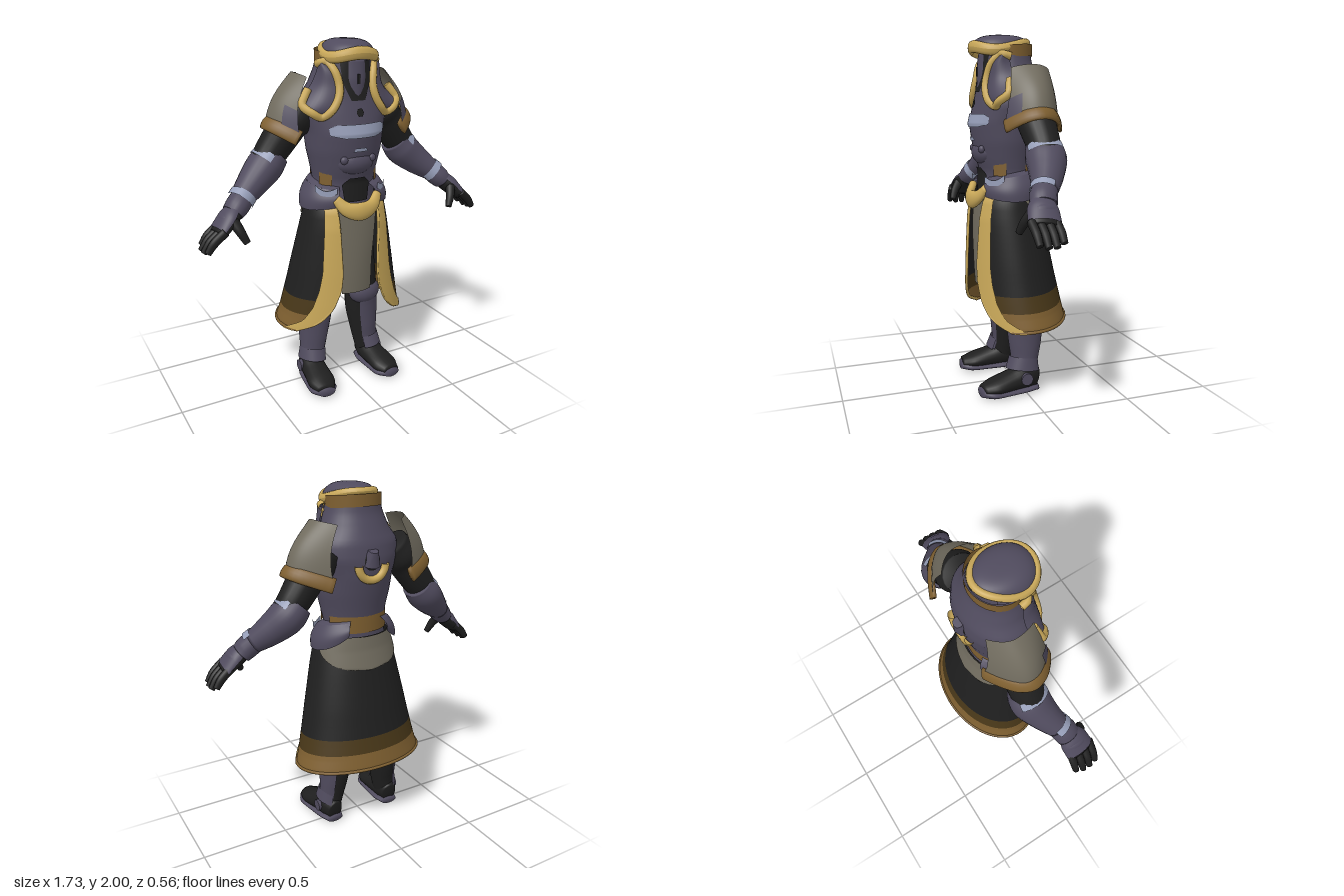
import * as THREE from 'three';

const mat = (name, color) => {
  const m = new THREE.MeshStandardMaterial({ color, side: THREE.DoubleSide });
  m.name = name;
  return m;
};
const V = (x, y, z) => new THREE.Vector3(x, y, z);
const lerp = THREE.MathUtils.lerp;

// Look up a row [key, ...values] by its descending key, interpolating linearly
function look(rows, key) {
  let i = 0;
  while (i < rows.length - 2 && rows[i + 1][0] > key) i++;
  const a = rows[i], b = rows[i + 1];
  const t = THREE.MathUtils.clamp((a[0] - key) / (a[0] - b[0]), 0, 1);
  return a.map((v, k) => lerp(v, b[k], t));
}

// Surface from a rule f(u, v) -> Vector3
function grid(f, nu, nv, closed = false) {
  const pos = [], idx = [], w = closed ? nu : nu + 1;
  for (let j = 0; j <= nv; j++) for (let i = 0; i < w; i++) pos.push(...f(i / nu, j / nv).toArray());
  for (let j = 0; j < nv; j++) for (let i = 0; i < nu; i++) {
    const a = j * w + i, b = j * w + (i + 1) % w;
    idx.push(a, b, a + w, b, b + w, a + w);
  }
  const g = new THREE.BufferGeometry();
  g.setAttribute('position', new THREE.Float32BufferAttribute(pos, 3));
  g.setIndex(idx);
  g.computeVertexNormals();
  return g;
}

// Closed limb through stations [x, y, z, ra, rb]; optional arc [from, to] makes a shell
function limb(st, { ref = V(0, 0, 1), arc = null, grow = 0, n = 20 } = {}) {
  const path = new THREE.CatmullRomCurve3(st.map(p => V(p[0], p[1], p[2])));
  const radii = new THREE.CatmullRomCurve3(st.map(p => V(p[3], p[4], 0)));
  return grid((u, v) => {
    const e = arc ? v : THREE.MathUtils.clamp(v * 1.1 - 0.05, 0, 1);
    const t = path.getTangent(e), c = path.getPoint(e), r = radii.getPoint(e);
    const s = V().crossVectors(t, ref).normalize(), q = V().crossVectors(s, t);
    const k = !arc && (v === 0 || v === 1) ? 0 : 1;
    const a = arc ? lerp(arc[0], arc[1], u) : u * Math.PI * 2;
    return c.addScaledVector(s, k * (r.x + grow) * Math.cos(a)).addScaledVector(q, k * (r.y + grow) * Math.sin(a));
  }, n, 24, !arc);
}

// Point on an ellipse whose front and back depths differ; a = 0 faces front
const oval = (a, y, rx, zf, zb, off = 0) =>
  V((rx + off) * Math.sin(a), y, (zf + zb) / 2 + ((zf - zb) / 2 + off) * Math.cos(a));

function mirrored(geo) {
  const g = geo.clone().scale(-1, 1, 1), a = g.index.array;
  for (let i = 0; i < a.length; i += 3) [a[i], a[i + 1]] = [a[i + 1], a[i]];
  return g;
}

export function createModel() {
  const model = new THREE.Group();
  model.name = 'armouredFigure';
  const plum = mat('plumArmour', 0x504b5e), black = mat('blackCloth', 0x1f1f1f), gold = mat('gold', 0xc9a859),
    brown = mat('bronze', 0x7e5f30), dark = mat('darkBronze', 0x483718), taupe = mat('taupe', 0x716c5f),
    steel = mat('paleSteel', 0x969eb8);
  const add = (name, geo, m) => {
    const mesh = new THREE.Mesh(geo, m);
    mesh.name = name;
    model.add(mesh);
  };
  const pair = (name, geo, m) => { add(name + 'Left', geo, m); add(name + 'Right', mirrored(geo), m); };
  const tube = (pts, r) => new THREE.TubeGeometry(new THREE.CatmullRomCurve3(pts), 48, r, 10);
  const ball = (x, y, z, a, b, c) => new THREE.SphereGeometry(1, 20, 14).scale(a, b, c).translate(x, y, z);

  // Torso: y, half width, front z, back z
  const body = [[1.93, .145, .185, -.09], [1.85, .165, .19, -.1], [1.77, .195, .195, -.13], [1.7, .245, .205, -.155],
    [1.62, .255, .225, -.165], [1.52, .225, .25, -.16], [1.42, .215, .235, -.14], [1.33, .195, .215, -.12],
    [1.25, .18, .19, -.105], [1.12, .19, .19, -.11]];
  add('torso', grid((u, v) => {
    const [y, rx, zf, zb] = look(body, lerp(1.93, 1.12, v));
    return oval(u * Math.PI * 2, y, rx, zf, zb);
  }, 40, 36, true), plum);
  const frontZ = (x, y) => {
    const [, rx, zf, zb] = look(body, y);
    return (zf + zb) / 2 + (zf - zb) / 2 * Math.sqrt(Math.max(0, 1 - (x / rx) ** 2));
  };
  // Thin plate lying on the chest: rows of y, left x, right x
  const plate = (rows, off) => grid((u, v) => {
    const [y, x0, x1] = look(rows, lerp(rows[0][0], rows[rows.length - 1][0], v));
    const x = lerp(x0, x1, u);
    return V(x, y, frontZ(x, y) + off);
  }, 14, 14);
  add('cowlShadow', plate([[1.89, -.09, .09], [1.78, -.08, .08], [1.69, -.04, .04]], .005), black);
  add('chestBar', plate([[1.572, -.13, .13], [1.555, -.165, .165], [1.515, -.16, .16], [1.5, -.09, .09]], .008), steel);
  add('chestStud', plate([[1.65, -.012, .012], [1.63, -.022, .022], [1.61, -.012, .012]], .007), black);
  add('abdomenEdge', plate([[1.445, -.03, .03], [1.425, -.045, .045]], .007), steel);
  add('abdomenPlate', ball(0, 1.36, .165, .12, .075, .074), plum);
  pair('abdomenStud', ball(.085, 1.38, .212, .022, .022, .018), plum);
  add('bellyCloth', plate([[1.275, -.045, .045], [1.24, -.085, .085], [1.14, -.07, .07]], .012), black);

  // Head: mask, cap and the rims around it
  add('mask', limb([[0, 1.89, .14, .078, .058], [0, 1.8, .15, .072, .06], [0, 1.73, .16, .056, .05], [0, 1.67, .175, .03, .034]]), plum);
  add('maskSlit', new THREE.BoxGeometry(.014, .05, .006).translate(0, 1.8, .211), black);
  // Egg-shaped brim line, dipping over the temples and rising to the back
  const rim = a => {
    const f = (1 + Math.cos(a)) / 2;
    return V(.137 * Math.sin(a) * (1 + .14 * Math.cos(a)), 1.964 - .03 * f - .055 * f * Math.sin(a) ** 2, .08 + .155 * Math.cos(a));
  };
  add('cap', grid((u, v) => {
    const p = rim(u * Math.PI * 2), h = v * Math.PI / 2, c = Math.cos(h) ** .65;
    return V(p.x * c, lerp(p.y, 2, Math.sin(h)), lerp(.07, p.z, c));
  }, 36, 12, true), plum);
  add('capRim', grid((u, v) => {
    const a = u * Math.PI * 2, b = v * Math.PI * 2, p = rim(a), f = (1 + Math.cos(a)) / 2, k = .02 * Math.cos(b);
    return V(p.x + k * Math.sin(a), p.y + lerp(.02, .034, f) * Math.sin(b), p.z + k * Math.cos(a));
  }, 40, 12, true), gold);
  add('neckBand', grid((u, v) => {
    const a = lerp(.9, Math.PI * 2 - .9, u);
    return oval(a, lerp(1.94, 1.875, v) - .012 * Math.cos(a), .152, .18, -.097, .005);
  }, 36, 3), brown);

  // Collar: raised flap each side of the face, edged with gold
  const inner = [[.14, 1.885], [.115, 1.84], [.1, 1.77], [.11, 1.71], [.15, 1.645], [.195, 1.612]]
    .map(([x, y]) => V(x, y, frontZ(x, y) + .012));
  const outer = [V(.168, 1.875, .08), V(.18, 1.83, .075), V(.205, 1.775, .07), V(.235, 1.74, .07), V(.265, 1.71, .085), V(.285, 1.675, .12)];
  const [innerCurve, outerCurve] = [inner, outer].map(p => new THREE.CatmullRomCurve3(p));
  pair('collarFlap', grid((u, v) => {
    const bulge = .022 * Math.sin(Math.PI * u);
    return innerCurve.getPoint(v).lerp(outerCurve.getPoint(v), u).add(V(bulge, 0, bulge));
  }, 10, 20), plum);
  pair('collarTrim', tube([V(.168, 1.875, .07), V(.16, 1.885, .11), ...inner, V(.245, 1.635, .165), V(.285, 1.675, .125), V(.262, 1.72, .11), V(.24, 1.75, .1)], .022), gold);

  // Back boss with its half ring
  add('backBoss', new THREE.CylinderGeometry(.03, .055, .08, 8).rotateX(-.35).translate(0, 1.63, -.155), plum);
  add('backSocket', ball(0, 1.61, -.15, .055, .06, .022), black);
  add('backRing', new THREE.TorusGeometry(.082, .023, 10, 24, Math.PI).rotateZ(Math.PI).translate(0, 1.59, -.158), gold);

  // Pauldrons: curved plates, wrapping further round the back than the front
  const shell = (u, v) => {
    const k = u * 2 - 1, d = k * k * (.25 + .75 * v), z = (lerp(.095, .15, v) + lerp(-.135, -.178, v)) / 2;
    return V(lerp(.27, .43, v) + .03 * Math.sin(Math.PI * v) - (k < 0 ? .15 : .115) * d - (k < 0 ? .04 * k * k : 0),
      lerp(1.83, 1.58, v) - .07 * d, z + k * lerp(.115, .164, v));
  };
  pair('pauldron', grid(shell, 24, 12), taupe);
  pair('pauldronFrontPlate', grid((u, v) => shell(lerp(.8, 1, u), lerp(.55, 1, v)).add(V(0, .002, .006)), 6, 6), plum);
  const hem = [0, .12, .3, .5, .7, .88, 1].map(u => [...shell(u, 1).toArray(), .016, .042]);
  pair('pauldronTrim', limb(hem, { ref: V(.65, -.76, 0), n: 14 }), brown);

  // Arms
  pair('upperArm', limb([[.21, 1.66, -.01, .1, .105], [.3, 1.555, -.015, .1, .105], [.4, 1.42, -.025, .09, .09], [.46, 1.35, -.02, .075, .08]]), black);
  pair('forearm', limb([[.385, 1.405, -.03, .085, .095], [.44, 1.345, -.025, .098, .108], [.52, 1.275, .005, .085, .09], [.61, 1.205, .05, .062, .066]]), plum);
  pair('elbowEdge', limb([[.4, 1.39, -.03, .092, .101], [.43, 1.357, -.027, .097, .107]], { arc: [1.9, 3.9], grow: .004 }), steel);
  pair('wristEdge', limb([[.592, 1.22, .04, .068, .072], [.622, 1.193, .056, .069, .073]], { arc: [.4, 3.6], grow: .003 }), steel);
  pair('cuff', limb([[.59, 1.22, .04, .06, .064], [.64, 1.175, .07, .062, .07], [.67, 1.145, .08, .055, .068]]), plum);
  pair('palm', limb([[.64, 1.17, .075, .04, .05], [.7, 1.12, .095, .046, .072], [.765, 1.055, .11, .032, .078]]), black);
  pair('handGuard', limb([[.66, 1.16, .08, .046, .06], [.7, 1.12, .095, .052, .08], [.755, 1.067, .107, .042, .084]], { arc: [Math.PI - 1.5, Math.PI + 1.5] }), plum);
  pair('handGuardTop', ball(.712, 1.12, .095, .045, .045, .072), plum);
  for (let i = 0; i < 4; i++) {
    const z = .045 + i * .041, l = [.86, 1, 1, .92][i];
    pair('finger' + (i + 1), limb([[.745, 1.08, z + .005, .025, .022], [.745 + .065 * l, 1.08 - .055 * l, z, .024, .021], [.745 + .105 * l, 1.08 - .11 * l, z - .003, .018, .017]], { n: 10 }), black);
  }
  pair('thumb', limb([[.69, 1.12, .14, .03, .03], [.665, 1.065, .175, .025, .025], [.64, 1.01, .195, .018, .018]], { n: 10 }), black);

  // Waist: belt at the flanks and back, hip guards and the front buckle
  pair('beltFlank', grid((u, v) => oval(lerp(.75, 1.2, u), lerp(1.31, 1.235, v), .186, .195, -.11, .006), 10, 2), brown);
  add('beltBack', grid((u, v) => oval(lerp(1.9, Math.PI * 2 - 1.9, u), lerp(1.295, 1.2, v), .185, .19, -.107, .006), 30, 2), brown);
  // Rounded hip guard: lower edge sweeps up toward its back end
  const hipTop = u => 1.21 + .055 * u;
  pair('hipGuard', grid((u, v) => {
    const low = 1.1 + .025 * (1 - 2 * u) ** 2 + .07 * u ** 5;
    return oval(lerp(.5, 2.65, u), lerp(hipTop(u), low, v), .215 + .045 * v, .215 + .02 * v, -.12 - .025 * v, .016 * Math.sin(Math.PI * v));
  }, 30, 10), plum);
  pair('hipGuardTop', grid((u, v) =>
    oval(lerp(.5, 2.65, u), hipTop(u) + lerp(.02, 0, v), lerp(.18, .215, v), lerp(.18, .215, v), lerp(-.1, -.12, v)), 24, 2), plum);
  pair('hipEdge', grid((u, v) => oval(lerp(.55, 1.15, u), lerp(1.235, 1.2, v) - .025 * Math.sin(Math.PI * u) + .01 * u, .23, .228, -.13, .009), 12, 3), steel);
  add('buckle', limb([[-.13, 1.17, .2, .025, .022], [-.08, 1.115, .235, .04, .025], [0, 1.095, .25, .052, .026], [.08, 1.115, .235, .04, .025], [.13, 1.17, .2, .025, .022]]), gold);

  // Skirt: y, half width, front z, back z, inner edge x, gold trim width
  const skirt = [[1.18, .205, .2, -.115, .125, .05], [1.1, .24, .24, -.125, .125, .058], [1, .262, .255, -.15, .12, .072],
    [.75, .315, .262, -.205, .11, .102], [.65, .335, .264, -.225, .12, .112], [.55, .357, .266, -.247, .16, .105],
    [.47, .375, .266, -.265, .22, .09], [.42, .39, .262, -.276, .3, .07], [.395, .395, .26, -.28, .355, .033]];
  const cloth = (y, pick, off = 0) => {
    const [, rx, zf, zb, xe, w] = look(skirt, y);
    const a0 = Math.asin(xe / rx), a1 = Math.asin(Math.min(.985, (xe + w) / rx)), a = pick(a0, a1);
    return oval(a, y + .03 * ((1 - Math.cos(a)) / 2) ** 2 * (1.18 - y) / .78, rx, zf, zb, off);
  };
  [['skirtCloth', 1.18, .59, black], ['skirtDarkBand', .59, .5, dark], ['skirtHem', .5, .395, brown]].forEach(([name, y0, y1, m]) =>
    add(name, grid((u, v) => cloth(lerp(y0, y1, v), a0 => lerp(a0, Math.PI * 2 - a0, u)), 60, 14), m));
  pair('skirtFrontTrim', grid((u, v) => cloth(lerp(1.15, .395, v), (a0, a1) => lerp(a0, a1, u), .008), 8, 44), gold);
  pair('skirtFrontPiping', tube(Array.from({ length: 16 }, (_, i) => cloth(lerp(1.12, .402, i / 15), a0 => a0 + .02)), .009), gold);
  add('hemPiping', tube(Array.from({ length: 24 }, (_, i) => cloth(.402, a0 => lerp(a0, Math.PI * 2 - a0, i / 23))), .009), brown);
  add('backDrape', grid((u, v) => {
    const w = 1.45 * Math.sqrt(Math.max(0, 1 - v * v));
    return cloth(lerp(1.18, .985, v), () => Math.PI + lerp(-w, w, u), .008);
  }, 24, 16), taupe);
  add('tabard', grid((u, v) => V(lerp(-1, 1, u) * lerp(.125, .093, Math.min(1, v * 1.6)), lerp(1.12, .605, v), .222 + .012 * Math.sin(v * 3) - .02 * (2 * u - 1) ** 2), 8, 12), taupe);

  // Legs and boots
  const leg = [[.1, 1.12, 0, .09, .1], [.115, .8, 0, .1, .11], [.145, .56, .01, .09, .1], [.155, .42, -.012, .095, .1],
    [.168, .28, -.012, .082, .086], [.18, .17, -.005, .07, .07], [.195, .08, 0, .062, .066]];
  pair('leg', limb(leg), black);
  pair('kneeGuard', ball(.143, .52, .045, .1, .085, .078), plum);
  const shin = [[.148, .5, 0, .09, .1], ...leg.slice(3, 6), [.188, .13, 0, .07, .074]];
  pair('greave', limb(shin, { arc: [1, 4.3], grow: .007 }), plum);
  pair('ankleCuff', limb([[.18, .2, 0, .074, .077], [.19, .13, .01, .078, .092]], { arc: [.9, 4.3], grow: .005 }), plum);
  pair('boot', limb([[.195, .075, -.07, .045, .06], [.198, .09, -.01, .07, .075], [.205, .075, .08, .074, .06], [.215, .058, .18, .08, .045], [.222, .046, .255, .05, .03]], { ref: V(0, 1, 0) }), black);
  pair('sole', limb([[.195, .022, -.072, .05, .021], [.198, .022, 0, .072, .021], [.208, .022, .1, .078, .021], [.217, .026, .2, .083, .026], [.222, .036, .265, .05, .026]], { ref: V(0, 1, 0) }), plum);
  pair('ankleDisc', new THREE.CylinderGeometry(.034, .034, .02, 16).rotateZ(Math.PI / 2).translate(.27, .095, .01), plum);
  return model;
}
